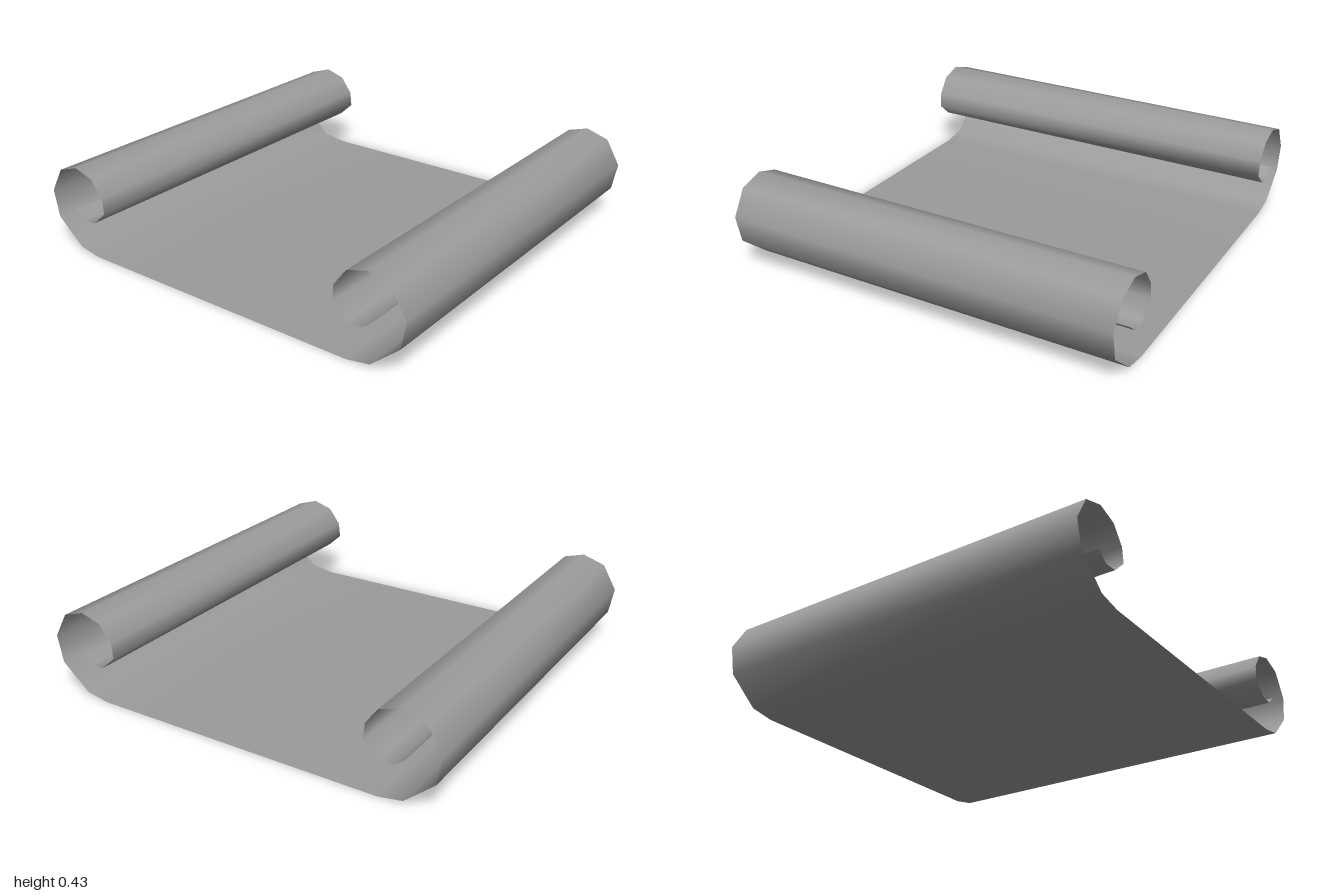
import * as THREE from 'three';

// Half of the sheet's cross-section (x, y): flat bed, then the curl up, over and back inside
const half = [
  [0.3, 0], [0.72, 0], [0.835, 0.02], [0.975, 0.14], [1, 0.27], [0.93, 0.39], [0.82, 0.425],
  [0.72, 0.395], [0.66, 0.315], [0.652, 0.24], [0.725, 0.175], [0.795, 0.17], [0.844, 0.212],
];
const halfDepth = 0.942;

export function createModel() {
  const group = new THREE.Group();
  group.name = 'scroll';

  // Mirror the half into the full profile, from left curl tip to right curl tip
  const profile = [...half.map(([x, y]) => [-x, y]).reverse(), ...half];

  // Bend a plane along the profile and run it through the depth
  const count = profile.length;
  const geometry = new THREE.PlaneGeometry(1, 1, count - 1, 1);
  const position = geometry.attributes.position;
  for (let i = 0; i < position.count; i++) {
    const [x, y] = profile[i % count];
    position.setXYZ(i, x, y, i < count ? -halfDepth : halfDepth);
  }
  geometry.computeVertexNormals();

  const sheet = new THREE.Mesh(
    geometry,
    new THREE.MeshStandardMaterial({ color: 0x9b9b9b, side: THREE.DoubleSide }),
  );
  sheet.name = 'curledSheet';
  group.add(sheet);
  return group;
}
